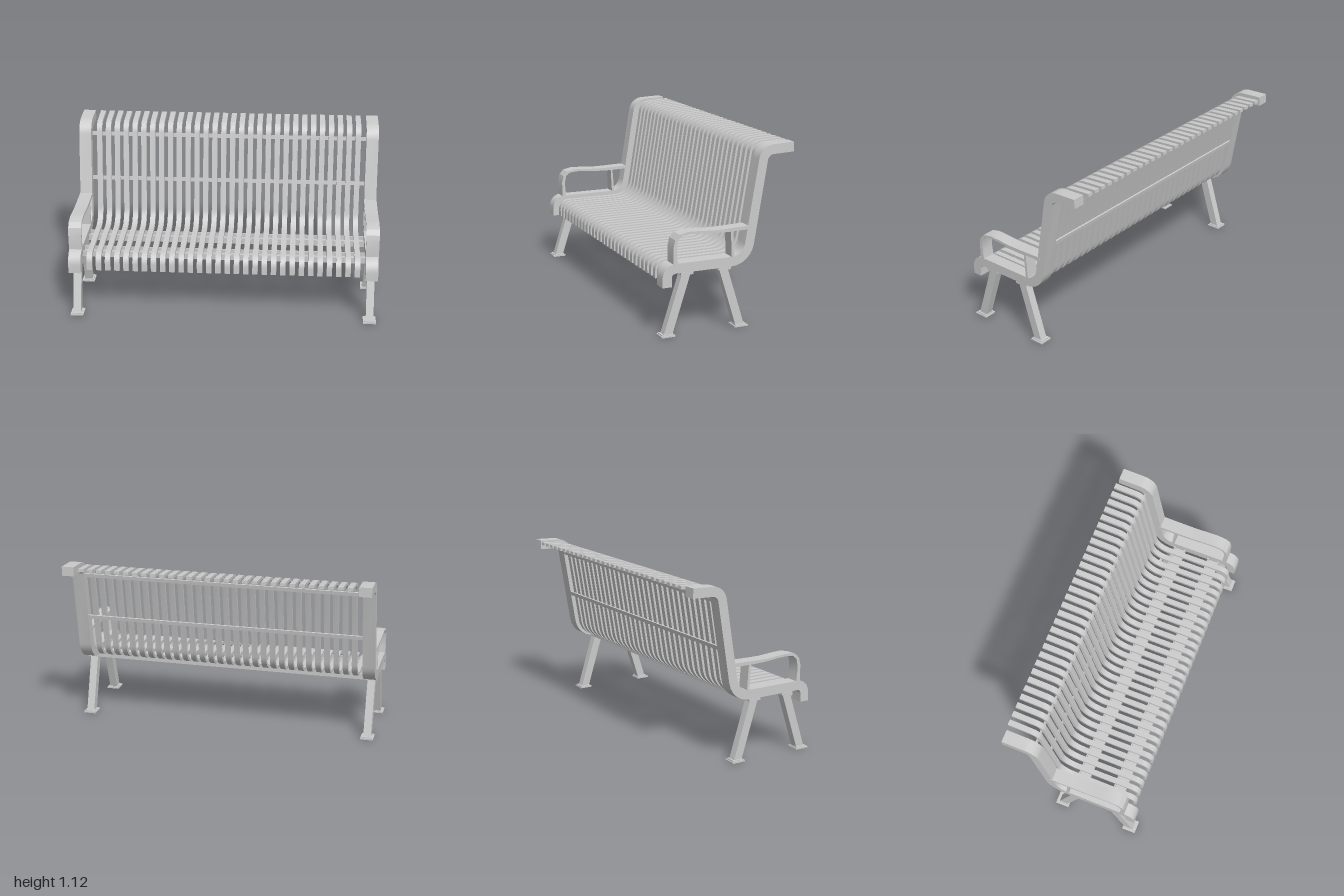
import * as THREE from 'three';
import { toCreasedNormals } from 'three/addons/utils/BufferGeometryUtils.js';

const V = (z, y) => new THREE.Vector2(z, y);
const material = new THREE.MeshStandardMaterial({ color: 0xcccccc });

// Rounds the corners of a [z, y, radius] polyline with circular arcs.
function roundedPath(corners, steps) {
  const out = [];
  corners.forEach(([z, y, r], i) => {
    const p = V(z, y);
    if (!r) return out.push(p);
    const a = V(corners[i - 1][0], corners[i - 1][1]).sub(p).normalize();
    const b = V(corners[i + 1][0], corners[i + 1][1]).sub(p).normalize();
    const half = Math.acos(a.dot(b)) / 2;
    const centre = p.clone().addScaledVector(a.clone().add(b).normalize(), r / Math.sin(half));
    const start = p.clone().addScaledVector(a, r / Math.tan(half));
    const turn = Math.sign(b.cross(a)) * (Math.PI - 2 * half);
    for (let k = 0; k <= steps; k++) {
      out.push(start.clone().rotateAround(centre, -turn * k / steps * -1));
    }
  });
  return out;
}

// Outline of a band of even thickness that follows a path.
function bandOutline(path, thickness) {
  const left = [], right = [];
  path.forEach((p, i) => {
    const prev = path[Math.max(i - 1, 0)], next = path[Math.min(i + 1, path.length - 1)];
    const d = next.clone().sub(prev).normalize();
    const n = V(-d.y, d.x).multiplyScalar(thickness / 2);
    left.push(p.clone().add(n));
    right.unshift(p.clone().sub(n));
  });
  return left.concat(right);
}

// Extrudes a z-y outline across x, centred on x = 0.
function extrudeAcross(outline, width) {
  const geo = new THREE.ExtrudeGeometry(new THREE.Shape(outline), { depth: width, bevelEnabled: false });
  geo.translate(0, 0, -width / 2).rotateY(-Math.PI / 2);
  return toCreasedNormals(geo, 0.4);
}

// Square tube standing on y = 0, open at both ends.
function squareTube(w, d, wall, height) {
  const rect = (a, b) => [V(-a, -b), V(a, -b), V(a, b), V(-a, b)];
  const shape = new THREE.Shape(rect(w / 2, d / 2));
  shape.holes.push(new THREE.Path(rect(w / 2 - wall, d / 2 - wall)));
  return new THREE.ExtrudeGeometry(shape, { depth: height, bevelEnabled: false }).rotateX(-Math.PI / 2);
}

export function createModel() {
  const model = new THREE.Group();
  model.name = 'bench';
  const add = (parent, name, geo, x = 0, y = 0, z = 0) => {
    const mesh = new THREE.Mesh(geo, material);
    mesh.name = name;
    mesh.position.set(x, y, z);
    parent.add(mesh);
    return mesh;
  };

  // Shared shapes for the two ends
  const framePath = roundedPath(
    [[0.405, 0.31], [0.405, 0.42, 0.055], [-0.122, 0.42, 0.12], [-0.233, 1.083, 0.07], [-0.43, 1.09]], 6);
  const frameGeo = extrudeAcross(bandOutline(framePath, 0.06), 0.08);
  const armGeo = extrudeAcross([
    V(0.365, 0.44), V(0.366, 0.55), V(0.355, 0.595), V(0.328, 0.625), V(0.27, 0.637), V(0.2, 0.634),
    V(0.1, 0.627), V(0, 0.628), V(-0.14, 0.632), V(-0.14, 0.61), V(0, 0.607), V(0.1, 0.61), V(0.2, 0.619),
    V(0.26, 0.621), V(0.31, 0.614), V(0.335, 0.592), V(0.344, 0.55), V(0.343, 0.5), V(0.335, 0.44),
  ], 0.084);
  const postGeo = extrudeAcross([V(-0.011, 0.615), V(-0.025, 0.615), V(-0.038, 0.44), V(-0.02, 0.44)], 0.08);

  // Leaning square leg with a foot flange
  const addLeg = (parent, name, footZ, topZ) => {
    const leg = new THREE.Group();
    leg.name = name;
    parent.add(leg);
    const height = 0.375;
    const tube = squareTube(0.05, 0.057, 0.006, height);
    tube.applyMatrix4(new THREE.Matrix4().set(
      1, 0, 0, 0, 0, 1, 0, 0, 0, (topZ - footZ) / height, 1, footZ, 0, 0, 0, 1));
    add(leg, 'legTube', tube);
    add(leg, 'footFlange', squareTube(0.084, 0.09, 0.017, 0.009), 0, 0, footZ);
    add(leg, 'footCollar', squareTube(0.068, 0.074, 0.012, 0.006), 0, 0.009, footZ);
  };

  for (const side of [1, -1]) {
    const end = new THREE.Group();
    end.name = side > 0 ? 'leftEnd' : 'rightEnd';
    end.position.x = side * 0.957;
    model.add(end);
    add(end, 'sideFrame', frameGeo);
    add(end, 'armrest', armGeo);
    add(end, 'armrestPost', postGeo);
    addLeg(end, 'frontLeg', 0.396, 0.275);
    addLeg(end, 'rearLeg', -0.09, 0.027);
  }

  // Bent slats that run from the front lip over the seat and up the back
  const slatPath = roundedPath(
    [[0.395, 0.32], [0.395, 0.422, 0.055], [-0.131, 0.422, 0.12], [-0.243, 1.093, 0.065], [-0.439, 1.105]], 8);
  const slatGeo = extrudeAcross(bandOutline(slatPath, 0.02), 0.035);
  const slats = new THREE.Group();
  slats.name = 'slats';
  model.add(slats);
  const count = 30;
  for (let i = 0; i < count; i++) {
    add(slats, 'slat', slatGeo, -0.865 + 1.73 * i / (count - 1));
  }

  // Seat bars: flat plates under the frames with raised edges carrying the slats
  for (const z of [0.273, 0.026]) {
    add(model, 'seatBar', new THREE.BoxGeometry(1.99, 0.015, 0.082), 0, 0.381, z);
    for (const s of [-1, 1]) {
      add(model, 'seatBarEdge', new THREE.BoxGeometry(1.84, 0.028, 0.008), 0, 0.4, z + s * 0.037);
    }
  }

  // Thin bars behind the backrest
  for (const [y, z] of [[0.72, -0.197], [1.02, -0.247]]) {
    add(model, 'backBar', new THREE.BoxGeometry(1.84, 0.025, 0.01), 0, y, z).rotation.x = -0.165;
  }

  return model;
}
